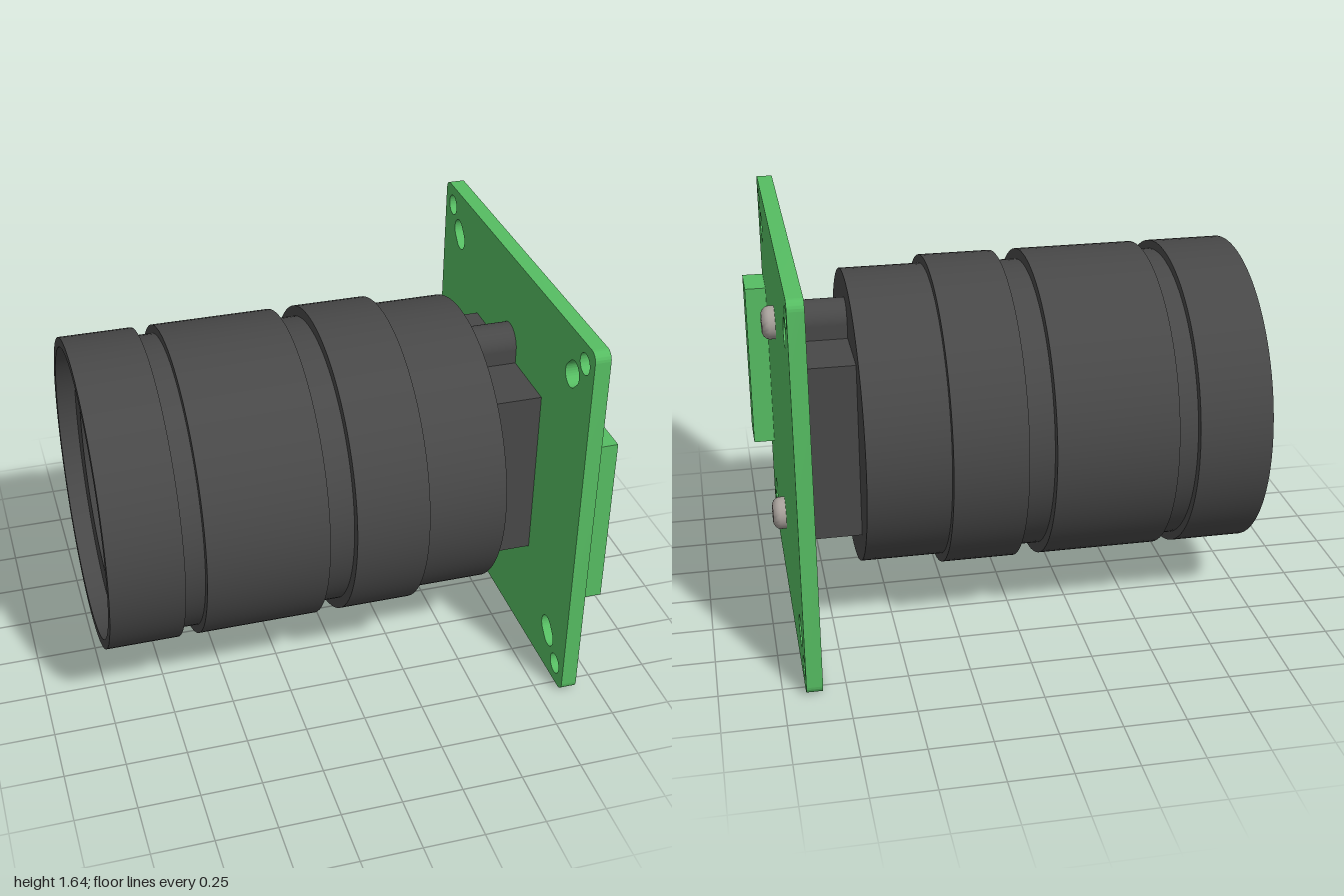
import * as THREE from 'three';
import { toCreasedNormals } from 'three/addons/utils/BufferGeometryUtils.js';

const AXIS_Y = 0.82;

export function createModel() {
  const model = new THREE.Group();
  model.name = 'cameraModule';
  const black = new THREE.MeshStandardMaterial({ color: 0x484848 });
  const green = new THREE.MeshStandardMaterial({ color: 0x56bd62 });
  const steel = new THREE.MeshStandardMaterial({ color: 0xa8a19b });

  function add(name, geometry, material, parent = model) {
    const mesh = new THREE.Mesh(geometry, material);
    mesh.name = name;
    parent.add(mesh);
    return mesh;
  }

  // Turned part along +x from [x, radius] pairs
  function turned(profile, segments) {
    const points = profile.map(([x, r]) => new THREE.Vector2(r, x));
    const geometry = new THREE.LatheGeometry(points, segments).rotateZ(-Math.PI / 2);
    return toCreasedNormals(geometry, 0.5);
  }

  // Flat outline extruded along +x, starting at x
  function plate(shape, x, depth, curveSegments = 24) {
    const geometry = new THREE.ExtrudeGeometry(shape, { depth, bevelEnabled: false, curveSegments });
    return toCreasedNormals(geometry.rotateY(Math.PI / 2).translate(x, 0, 0), 0.5);
  }

  // Lens barrel with its recessed front, two grooves and a narrower rear
  const barrel = add('lensBarrel', turned([
    [-0.87, 0.44], [-0.92, 0.47], [-0.92, 0.6], [-1, 0.605], [-1, 0.645],
    [-0.7, 0.645], [-0.7, 0.61], [-0.615, 0.61], [-0.615, 0.645],
    [-0.12, 0.645], [-0.12, 0.602], [-0.01, 0.602], [-0.01, 0.645],
    [0.29, 0.645], [0.29, 0.61], [0.625, 0.61], [0.625, 0],
  ], 96), black);
  barrel.position.y = AXIS_Y;
  const glass = add('frontLens', turned([[-0.87, 0], [-0.87, 0.44]], 96), black);
  glass.position.y = AXIS_Y;

  // Square lens holder between barrel and board
  const holder = add('lensHolder', new THREE.BoxGeometry(0.22, 0.745, 0.744), black);
  holder.position.set(0.735, AXIS_Y, 0);

  // Circuit board with rounded corners, round holes and diagonal slots
  const h = 0.818, r = 0.04;
  const outline = new THREE.Shape();
  outline.absarc(h - r, h - r, r, 0, Math.PI / 2);
  outline.absarc(r - h, h - r, r, Math.PI / 2, Math.PI);
  outline.absarc(r - h, r - h, r, Math.PI, Math.PI * 1.5);
  outline.absarc(h - r, r - h, r, Math.PI * 1.5, Math.PI * 2);
  outline.closePath();
  for (let i = 0; i < 4; i++) {
    const a = Math.PI / 4 + (i * Math.PI) / 2;
    const sx = Math.sign(Math.cos(a)), sy = Math.sign(Math.sin(a));
    const hole = new THREE.Path();
    hole.absarc(sx * 0.732, sy * 0.732, 0.044, 0, Math.PI * 2);
    const slot = new THREE.Path();
    slot.absarc(sx * 0.645, sy * 0.645, 0.05, a - Math.PI / 2, a + Math.PI / 2);
    slot.absarc(sx * 0.62, sy * 0.62, 0.05, a + Math.PI / 2, a + Math.PI * 1.5);
    slot.closePath();
    outline.holes.push(hole, slot);
  }
  const board = add('circuitBoard', plate(outline, 0.845, 0.065), green);
  board.position.y = h;

  // Connector block on the board
  const connector = add('connector', new THREE.BoxGeometry(0.09, 0.735, 0.19), green);
  connector.position.set(0.955, 0.822, 0.68);

  // Cross-shaped recess outline, slightly turned
  const arm = 0.034, half = 0.011;
  const corners = [];
  for (let i = 0; i < 4; i++) {
    const turn = 0.35 + (i * Math.PI) / 2;
    for (const [x, y] of [[arm, -half], [arm, half], [half, half]]) {
      corners.push(new THREE.Vector2(x, y).rotateAround(new THREE.Vector2(), turn));
    }
  }
  const crown = new THREE.Shape().absarc(0, 0, 0.042, 0, Math.PI * 2);
  crown.holes.push(new THREE.Path(corners));

  // Upper and lower mounting bosses with their screws
  for (const side of [1, -1]) {
    const label = side > 0 ? 'upper' : 'lower';
    const y = AXIS_Y + side * 0.432;
    const boss = add(label + 'Boss',
      new THREE.CylinderGeometry(0.084, 0.084, 0.22, 40).rotateZ(Math.PI / 2), black);
    boss.position.set(0.735, y, 0);
    const web = add(label + 'BossWeb', new THREE.BoxGeometry(0.22, 0.1, 0.168), black);
    web.position.set(0.735, y - side * 0.05, 0);

    const screw = new THREE.Group();
    screw.name = label + 'Screw';
    screw.position.y = y;
    model.add(screw);
    add('screwHead', turned([
      [0.91, 0], [0.91, 0.068], [0.935, 0.068], [0.946, 0.064], [0.956, 0.055], [0.963, 0.042],
    ], 40), steel, screw);
    add('screwCrown', plate(crown, 0.935, 0.028, 40), steel, screw);
    add('recessFloor', turned([[0.935, 0.042], [0.935, 0]], 40), steel, screw);
  }
  return model;
}
